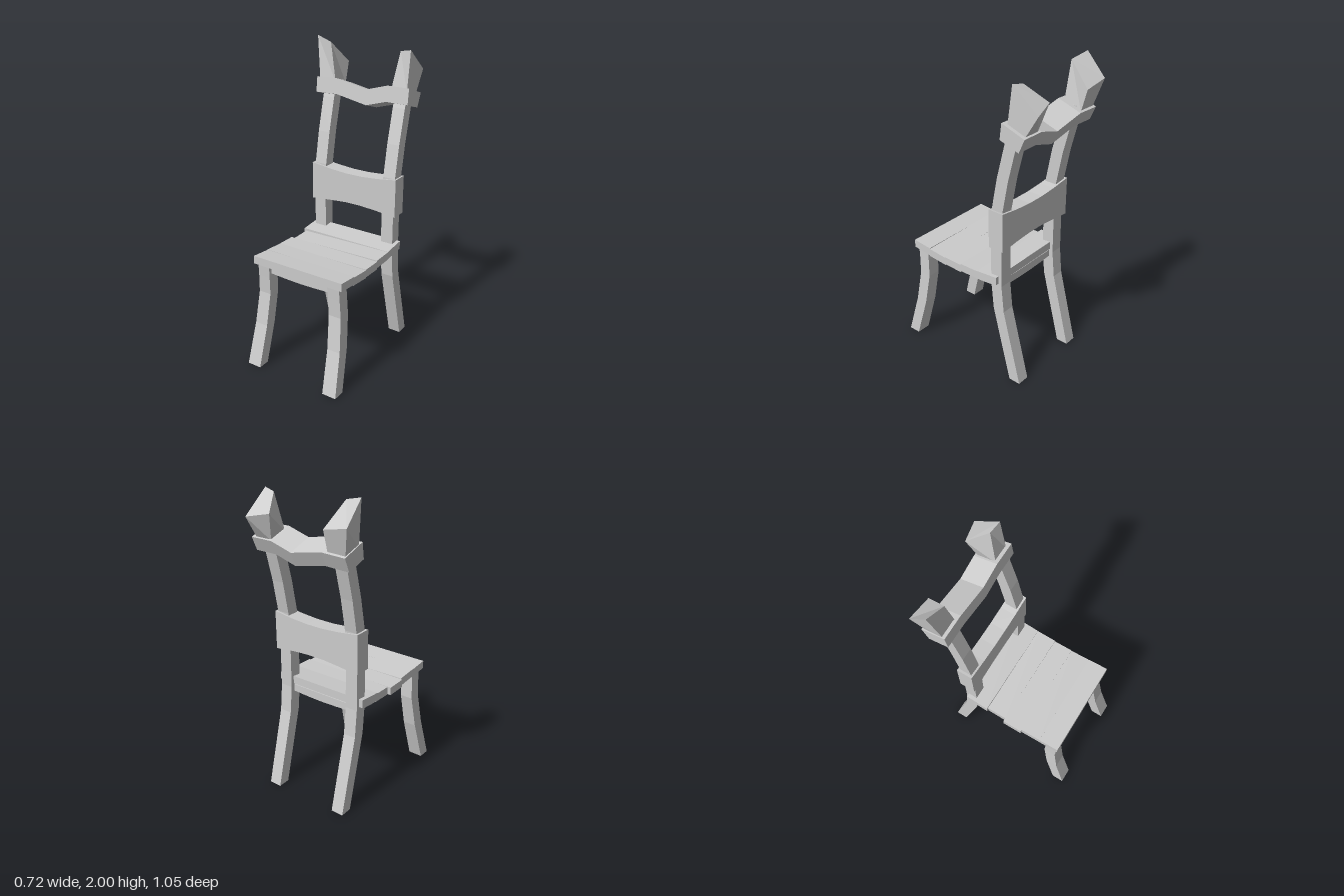
import * as THREE from 'three';

const material = new THREE.MeshStandardMaterial({ color: 0xcccccc, flatShading: true, side: THREE.DoubleSide });

// Solid skinned through four-cornered sections, closed at both ends.
function loft(name, sections) {
  const pos = [];
  const quad = (a, b, c, d) => pos.push(...a, ...b, ...c, ...a, ...c, ...d);
  for (let i = 0; i < sections.length - 1; i++) {
    const p = sections[i], q = sections[i + 1];
    for (let k = 0; k < 4; k++) {
      const n = (k + 1) % 4;
      quad(p[k], p[n], q[n], q[k]);
    }
  }
  const [a, b, c, d] = sections[0];
  quad(d, c, b, a);
  quad(...sections[sections.length - 1]);

  // Turn the faces outward when the enclosed volume comes out negative
  let volume = 0;
  const v = [0, 1, 2].map(() => new THREE.Vector3());
  for (let i = 0; i < pos.length; i += 9) {
    v.forEach((p, k) => p.fromArray(pos, i + k * 3));
    volume += v[0].dot(v[1].clone().cross(v[2]));
  }
  if (volume < 0) {
    for (let i = 0; i < pos.length; i += 9) {
      for (let k = 3; k < 6; k++) [pos[i + k], pos[i + k + 3]] = [pos[i + k + 3], pos[i + k]];
    }
  }
  const geometry = new THREE.BufferGeometry();
  geometry.setAttribute('position', new THREE.Float32BufferAttribute(pos, 3));
  geometry.computeVertexNormals();
  const mesh = new THREE.Mesh(geometry, material);
  mesh.name = name;
  return mesh;
}

// Horizontal rectangle, used for upright timbers
const level = (x, y, z, hx, hz) => [
  [x - hx, y, z - hz], [x + hx, y, z - hz], [x + hx, y, z + hz], [x - hx, y, z + hz]];
// Cross-section at a given x; profile is a list of [z, y]
const across = (x, profile) => profile.map(([z, y]) => [x, y, z]);
// Cross-section at a given z
const along = (z, x0, x1, y0, y1) => [[x0, y0, z], [x1, y0, z], [x1, y1, z], [x0, y1, z]];

export function createModel() {
  const chair = new THREE.Group();
  chair.name = 'chair';
  const middle = 0.018;

  for (const [side, s] of [['left', 1], ['right', -1]]) {
    // Front legs, splayed outward and forward: [y, z, x offset, half width]
    const front = [[0, 0.482, 0.293, 0.048], [0.28, 0.408, 0.279, 0.045],
      [0.5, 0.375, 0.266, 0.043], [0.62, 0.38, 0.262, 0.042], [0.7, 0.385, 0.26, 0.042]];
    chair.add(loft(side + 'FrontLeg',
      front.map(([y, z, x, h]) => level(middle + s * x, y, z, h, 0.04))));

    // Back legs running up into the backrest posts: [y, z]
    const back = [[0, -0.39], [0.28, -0.317], [0.5, -0.26], [0.68, -0.242], [0.94, -0.24],
      [1.19, -0.248], [1.4, -0.287], [1.62, -0.342], [1.72, -0.372]];
    chair.add(loft(side + 'BackPost',
      back.map(([y, z]) => level(middle + s * 0.26, y, z, 0.042, 0.04))));

    // Sagging side aprons
    const apron = [[0.38, 0.655], [0.2, 0.645], [0.05, 0.64], [-0.1, 0.643], [-0.23, 0.655]];
    const ax = middle + s * 0.265;
    chair.add(loft(side + 'Apron',
      apron.map(([z, y]) => along(z, ax - 0.02, ax + 0.02, y, y + 0.04))));
  }

  // Front and back aprons
  for (const [name, z] of [['frontApron', 0.38], ['backApron', -0.235]]) {
    const sag = [[-0.24, 0.645], [-0.1, 0.638], [0.02, 0.635], [0.14, 0.638], [0.28, 0.645]];
    chair.add(loft(name, sag.map(([x, y]) => across(x,
      [[z - 0.02, y], [z + 0.02, y], [z + 0.02, 0.69], [z - 0.02, 0.69]]))));
  }

  // Seat planks: [front z, back z, right x, top y at front, at back, lift of right end]
  const planks = [
    [0.435, 0.3, -0.31, 0.75, 0.737, 0],
    [0.3, 0.163, -0.31, 0.732, 0.72, 0.008],
    [0.163, 0.03, -0.32, 0.725, 0.722, -0.002],
    [0.03, -0.105, -0.297, 0.73, 0.733, -0.012],
    [-0.105, -0.26, -0.31, 0.735, 0.75, 0.002],
  ];
  planks.forEach(([z0, z1, x0, y0, y1, lift], i) => {
    const profile = (dy) => [[z0, y0 + dy], [z1, y1 + dy], [z1, y1 + dy - 0.053], [z0, y0 + dy - 0.053]];
    chair.add(loft('seatPlank' + (i + 1), [across(x0, profile(lift)), across(0.345, profile(0))]));
  });

  // Middle back rail, waisted toward its centre: [x, bottom y, top y]
  const waist = [[-0.3, 0.935, 1.19], [-0.16, 0.95, 1.172], [-0.04, 0.96, 1.163],
    [0.08, 0.96, 1.163], [0.2, 0.952, 1.172], [0.333, 0.936, 1.19]];
  chair.add(loft('middleRail', waist.map(([x, y0, y1]) => across(x,
    [[-0.195, y0], [-0.3, y0], [-0.3, y1], [-0.195, y1]]))));

  // Top rail, tilted backward and dipped at the centre: [x, drop]
  const dip = [[-0.33, 0.005], [-0.17, 0], [0.05, 0.042], [0.195, 0], [0.345, 0]];
  chair.add(loft('topRail', dip.map(([x, d]) => across(x,
    [[-0.3, 1.75 - d], [-0.458, 1.695 - d], [-0.42, 1.608 - d], [-0.288, 1.65 - d]]))));

  // Slanted finials on the posts, each cut at its own angle
  const base = (x0, x1) => [[x0, 1.69, -0.44], [x1, 1.69, -0.44], [x1, 1.72, -0.32], [x0, 1.72, -0.32]];
  chair.add(loft('rightFinial', [base(-0.32, -0.2),
    [[-0.362, 1.86, -0.485], [-0.2, 1.83, -0.477], [-0.242, 1.97, -0.33], [-0.362, 2, -0.358]]]));
  chair.add(loft('leftFinial', [base(0.21, 0.32),
    [[0.173, 1.86, -0.487], [0.32, 1.83, -0.525], [0.32, 1.97, -0.352], [0.243, 1.955, -0.366]]]));

  return chair;
}
